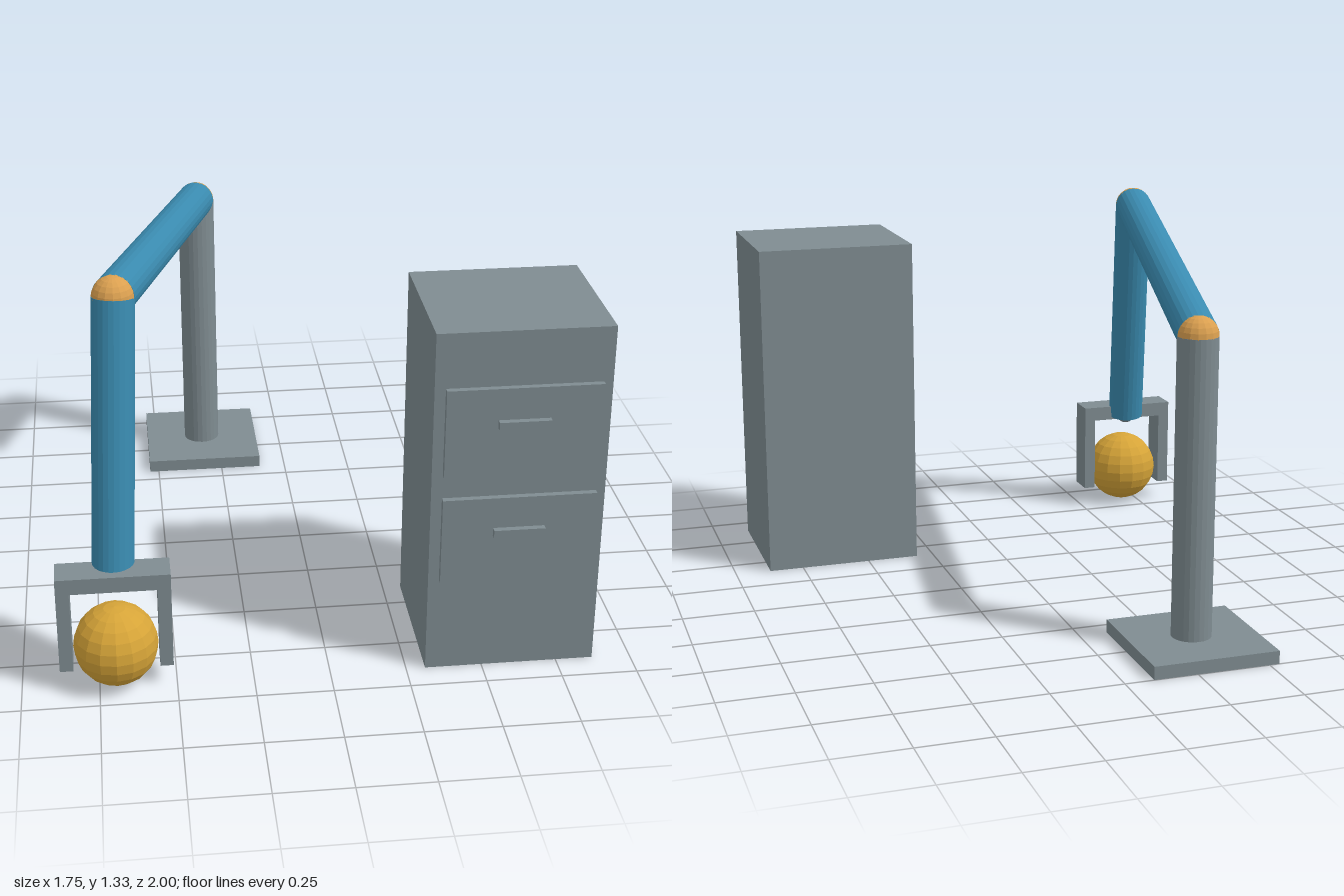
import * as THREE from 'three';

const mat = (name, color, flatShading = true) => {
  const m = new THREE.MeshStandardMaterial({ color, flatShading });
  m.name = name;
  return m;
};

export function createModel() {
  const root = new THREE.Group();
  root.name = 'robotArmAndCabinet';
  const grey = mat('grey steel', 0x7f8c91);
  const blue = mat('blue paint', 0x3a8bb0);
  const orange = mat('orange joint', 0xdba050);
  const gold = mat('gold ball', 0xd6a438);

  const add = (parent, name, geometry, material, x, y, z) => {
    const mesh = new THREE.Mesh(geometry, material);
    mesh.name = name;
    mesh.position.set(x, y, z);
    parent.add(mesh);
    return mesh;
  };
  // Box given by its lower and upper limits
  const box = (parent, name, x0, x1, y0, y1, z0, z1) =>
    add(parent, name, new THREE.BoxGeometry(x1 - x0, y1 - y0, z1 - z0), grey,
      (x0 + x1) / 2, (y0 + y1) / 2, (z0 + z1) / 2);
  const ball = (parent, name, r, material, p) =>
    add(parent, name, new THREE.SphereGeometry(r, 16, 12), material, p.x, p.y, p.z);
  // Cylinder between two points
  const rod = (parent, name, r, material, a, b) => {
    const d = b.clone().sub(a);
    const mid = a.clone().add(b).multiplyScalar(0.5);
    const mesh = add(parent, name, new THREE.CylinderGeometry(r, r, d.length(), 24),
      material, mid.x, mid.y, mid.z);
    mesh.quaternion.setFromUnitVectors(new THREE.Vector3(0, 1, 0), d.normalize());
  };

  // Arm: base plate, post, two links and their joints
  const arm = new THREE.Group();
  arm.name = 'arm';
  root.add(arm);
  const R = 0.068;
  const foot = new THREE.Vector3(-0.316, 0.04, -0.782);
  const shoulder = new THREE.Vector3(-0.316, 1.055, -0.782);
  const elbow = new THREE.Vector3(-0.65, 1.263, 0.658);
  const wrist = new THREE.Vector3(-0.69, 0.376, 0.815);
  box(arm, 'basePlate', -0.534, -0.099, 0, 0.045, -1, -0.565);
  rod(arm, 'post', R, grey, foot, shoulder);
  rod(arm, 'upperArm', R, blue, shoulder, elbow);
  rod(arm, 'forearm', R, blue, elbow, wrist);
  ball(arm, 'shoulderJoint', R, orange, shoulder);
  ball(arm, 'elbowJoint', R, orange, elbow);
  ball(arm, 'wristPivot', 0.036, grey, wrist);

  // Gripper with two fingers around the ball
  const gripper = new THREE.Group();
  gripper.name = 'gripper';
  root.add(gripper);
  box(gripper, 'palm', -0.875, -0.51, 0.36, 0.414, 0.802, 0.908);
  box(gripper, 'rightFinger', -0.875, -0.832, 0.075, 0.36, 0.802, 0.908);
  box(gripper, 'leftFinger', -0.553, -0.51, 0.075, 0.36, 0.802, 0.908);
  ball(root, 'heldBall', 0.137, gold, new THREE.Vector3(-0.692, 0.143, 0.863));

  // Cabinet with two drawers
  const cabinet = new THREE.Group();
  cabinet.name = 'cabinet';
  root.add(cabinet);
  box(cabinet, 'cabinetBody', 0.313, 0.873, 0, 1.197, 0.396, 0.903);
  for (const [name, y] of [['lower', 0.34], ['upper', 0.72]]) {
    box(cabinet, name + 'Drawer', 0.346, 0.84, y, y + 0.298, 0.914, 0.934);
    box(cabinet, name + 'Handle', 0.51, 0.675, y + 0.165, y + 0.192, 0.934, 0.954);
  }
  return root;
}
